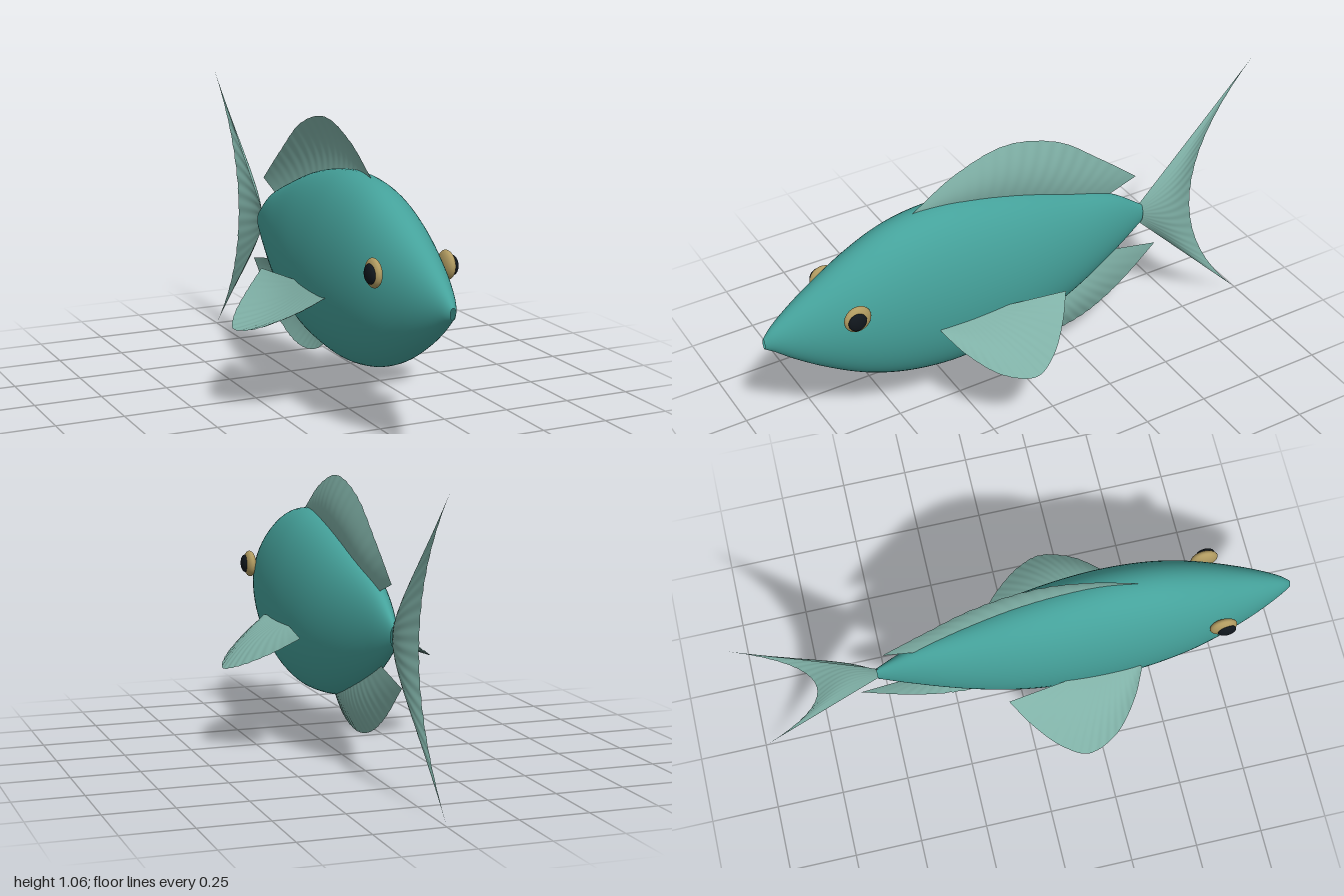
import * as THREE from 'three';

const V = (x, y, z) => new THREE.Vector3(x, y, z);
const mat = (color) => new THREE.MeshStandardMaterial({ color, side: THREE.DoubleSide });

// Smooth surface from a rule f(u, v); wrap joins the u ends into a tube
function surface(f, nu, nv, wrap = false) {
  const pos = [], index = [];
  const cols = wrap ? nu : nu + 1;
  for (let j = 0; j <= nv; j++) {
    for (let i = 0; i < cols; i++) pos.push(...f(i / nu, j / nv).toArray());
  }
  for (let j = 0; j < nv; j++) {
    for (let i = 0; i < nu; i++) {
      const k = (i + 1) % cols;
      const a = j * cols + i, b = j * cols + k, c = a + cols, d = b + cols;
      index.push(a, b, d, a, d, c);
    }
  }
  const g = new THREE.BufferGeometry();
  g.setAttribute('position', new THREE.Float32BufferAttribute(pos, 3));
  g.setIndex(index);
  g.computeVertexNormals();
  return g;
}

// Fin: rays run from a straight root to a curved rim, bellied sideways and lightly ribbed
function fin(name, material, rootA, rootB, rim, side, belly) {
  const f = (u, v) => {
    const p = rootA.clone().lerp(rootB, u).lerp(rim.getPoint(u), v);
    const bend = belly * Math.sin(Math.PI * u) * Math.sin(Math.PI * v);
    const rib = 0.0012 * v * Math.sin(u * Math.PI * 36) * Math.sin(Math.PI * u);
    return p.addScaledVector(side, bend + rib);
  };
  const mesh = new THREE.Mesh(surface(f, 144, 14), material);
  mesh.name = name;
  return mesh;
}

export function createModel() {
  const fish = new THREE.Group();
  fish.name = 'fish';
  const skin = mat(0x45a29b), finMat = mat(0x7fb0a6);
  const gold = mat(0xb09a60), black = mat(0x10161c);

  // Body sections from tail to nose: z, top, bottom, half width
  const sections = [
    [-0.53, 0.565, 0.49, 0.014], [-0.4, 0.655, 0.402, 0.054],
    [-0.2, 0.74, 0.295, 0.108], [0, 0.812, 0.225, 0.147],
    [0.18, 0.853, 0.199, 0.164], [0.33, 0.866, 0.195, 0.167],
    [0.5, 0.845, 0.222, 0.157], [0.65, 0.786, 0.276, 0.134],
    [0.8, 0.702, 0.362, 0.094], [0.9, 0.637, 0.433, 0.059],
    [0.97, 0.583, 0.49, 0.028], [1, 0.55, 0.51, 0.01],
  ];
  const edge = (n) => new THREE.CatmullRomCurve3(sections.map((s) => V(s[n], 0, s[0])));
  const [topLine, bottomLine, sideLine] = [1, 2, 3].map(edge);
  const body = new THREE.Mesh(surface((u, v) => {
    const a = u * Math.PI * 2;
    const top = topLine.getPoint(v), bottom = bottomLine.getPoint(v).x;
    return V(sideLine.getPoint(v).x * Math.cos(a),
      (top.x + bottom) / 2 + (top.x - bottom) / 2 * Math.sin(a), top.z);
  }, 64, 66, true), skin);
  body.name = 'body';
  fish.add(body);

  // Upright fins on the centre line, given as [z, y] rim points
  const midRim = (pts) => new THREE.CatmullRomCurve3(pts.map(([z, y]) => V(0, y, z)));
  const X = V(1, 0, 0);
  fish.add(fin('dorsalFin', finMat, V(0, 0.84, 0.4), V(0, 0.63, -0.3), midRim([
    [0.42, 0.86], [0.25, 0.962], [0.05, 1.015], [-0.16, 0.96], [-0.34, 0.83], [-0.5, 0.7],
  ]), X, 0.035));
  fish.add(fin('analFin', finMat, V(0, 0.26, 0.1), V(0, 0.43, -0.28), midRim([
    [0.1, 0.225], [-0.02, 0.15], [-0.16, 0.124], [-0.3, 0.152], [-0.44, 0.23], [-0.6, 0.365],
  ]), X, 0.03));
  const tailRim = new THREE.QuadraticBezierCurve3(
    V(0, 1.06, -1), V(0, 0.53, -0.5), V(0, 0, -1));
  fish.add(fin('tailFin', finMat, V(0, 0.565, -0.515), V(0, 0.495, -0.515), tailRim, X, 0.035));

  for (const s of [1, -1]) {
    const name = s > 0 ? 'left' : 'right';

    // Paired fin, sloping out and down from the flank
    const rim = new THREE.CatmullRomCurve3([
      V(s * 0.168, 0.46, 0.41), V(s * 0.26, 0.402, 0.362), V(s * 0.36, 0.34, 0.27),
      V(s * 0.4, 0.316, 0.16), V(s * 0.36, 0.341, 0.07), V(s * 0.27, 0.398, -0.025),
      V(s * 0.187, 0.456, -0.088),
    ]);
    const side = V(0.53, s * 0.85, 0);
    fish.add(fin(name + 'PectoralFin', finMat,
      V(s * 0.15, 0.462, 0.4), V(s * 0.155, 0.462, 0.15), rim, side, 0.022));

    // Eye: flattened ball with a flattened pupil
    const eye = new THREE.Group();
    eye.name = name + 'Eye';
    const ball = new THREE.Mesh(new THREE.SphereGeometry(1, 32, 20), gold);
    ball.name = 'eyeball';
    ball.scale.set(0.022, 0.05, 0.05);
    ball.position.set(s * 0.134, 0.612, 0.708);
    const pupil = new THREE.Mesh(new THREE.SphereGeometry(1, 28, 18), black);
    pupil.name = 'pupil';
    pupil.scale.set(0.015, 0.034, 0.034);
    pupil.position.set(s * 0.151, 0.612, 0.716);
    eye.add(ball, pupil);
    fish.add(eye);
  }
  return fish;
}
